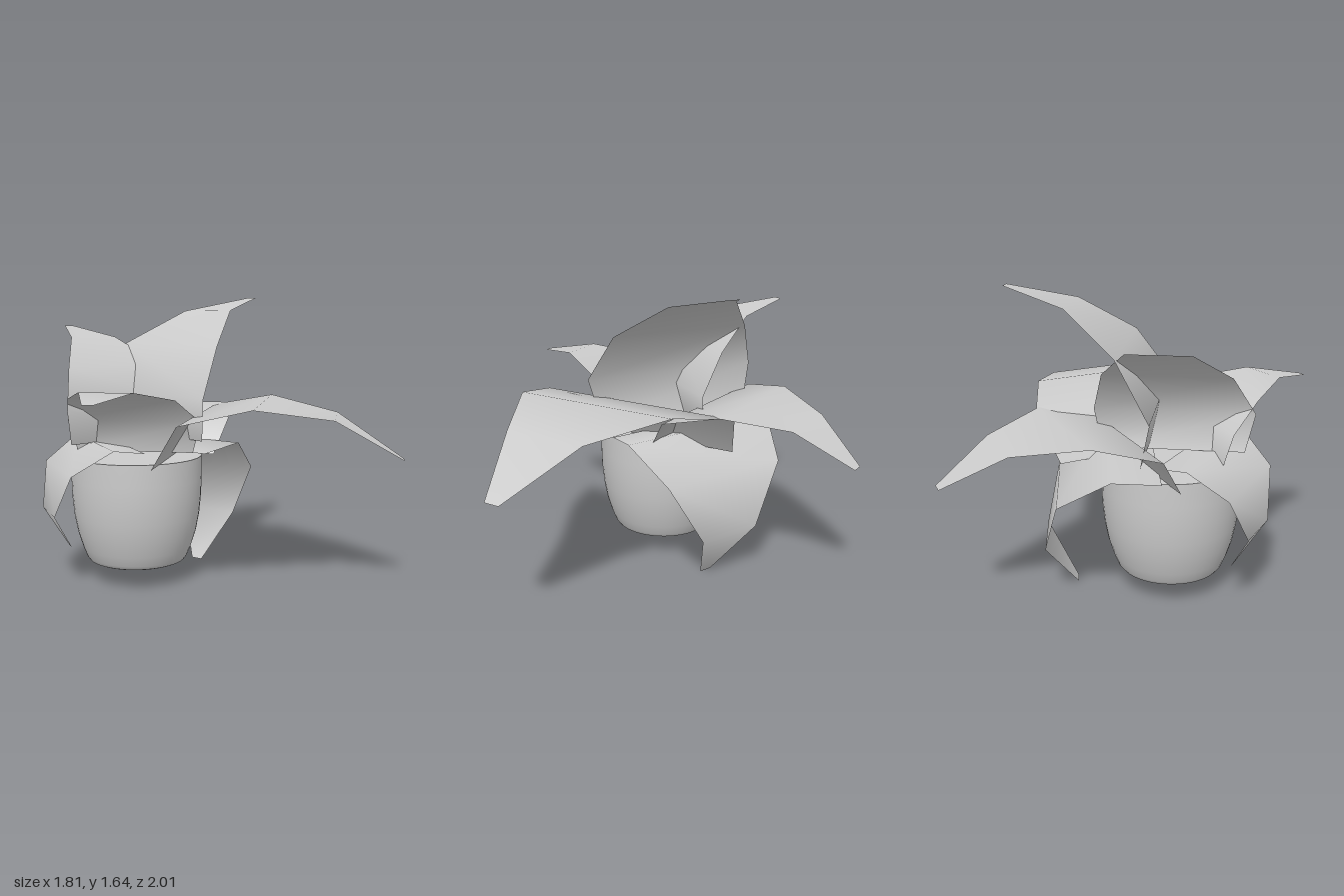
import * as THREE from 'three';

const CENTRE = { x: -0.2, z: -0.28 }; // pot axis
const HALF_WIDTHS = [0.44, 0.5, 0.39, 0.19, 0.036];
const DRIFT = [-0.02, -0.02, 0.01, 0.03, 0.06]; // slight sideways sweep of the midrib
// midrib profiles [outward, up] for a leaf of width 1
const ARCHING = [[0.175, 0.033], [0.3, 0.233], [0.611, 0.3], [0.946, 0.242], [1.25, 0.058]];
const DROOPING = [[0.09, 0.07], [0.34, 0.11], [0.607, -0.075], [0.68, -0.402], [0.51, -0.69]];

// Leaf strip: two vertices per row, swept along a pitched midrib
function leafGeometry({ width, dir, pitch = 0, profile = ARCHING, height = 0.69 }) {
  const len = Math.hypot(dir[0], dir[1]);
  const dx = dir[0] / len, dz = dir[1] / len;
  const a = THREE.MathUtils.degToRad(pitch), c = Math.cos(a), s = Math.sin(a);
  const positions = [], index = [];
  profile.forEach(([u, v], i) => {
    const out = width * (u * c - v * s);
    const up = width * (u * s + v * c);
    for (const side of [-1, 1]) {
      const across = width * (DRIFT[i] + side * HALF_WIDTHS[i]);
      positions.push(
        CENTRE.x + dx * out - dz * across,
        height + up,
        CENTRE.z + dz * out + dx * across
      );
    }
    if (i > 0) {
      const k = 2 * (i - 1);
      index.push(k, k + 1, k + 2, k + 1, k + 3, k + 2);
    }
  });
  const geo = new THREE.BufferGeometry();
  geo.setAttribute('position', new THREE.Float32BufferAttribute(positions, 3));
  geo.setIndex(index);
  geo.computeVertexNormals();
  return geo;
}

export function createModel() {
  const group = new THREE.Group();
  const potMaterial = new THREE.MeshStandardMaterial({ color: 0xcccccc });
  const leafMaterial = new THREE.MeshStandardMaterial({ color: 0xcccccc, side: THREE.DoubleSide });
  const add = (name, geometry, material) => {
    const mesh = new THREE.Mesh(geometry, material);
    mesh.name = name;
    group.add(mesh);
    return mesh;
  };

  // Rounded pot wall
  const wall = [
    [0.26, 0.117], [0.278, 0.125], [0.293, 0.145], [0.315, 0.2], [0.343, 0.29],
    [0.362, 0.39], [0.373, 0.5], [0.376, 0.6], [0.375, 0.73]
  ].map(([r, y]) => new THREE.Vector2(r, y));
  add('pot', new THREE.LatheGeometry(wall, 48), potMaterial).position.set(CENTRE.x, 0, CENTRE.z);

  // Flat base and soil
  const base = add('potBase', new THREE.CircleGeometry(0.26, 48), potMaterial);
  base.rotation.x = Math.PI / 2;
  base.position.set(CENTRE.x, 0.117, CENTRE.z);
  const soil = add('soil', new THREE.CircleGeometry(0.375, 48), potMaterial);
  soil.rotation.x = -Math.PI / 2;
  soil.position.set(CENTRE.x, 0.729, CENTRE.z);

  // Leaves: dir is the outward heading [x, z]
  const leaves = {
    frontLeaf: { width: 1.2, dir: [0.587, 0.81] },
    backLeftLeaf: { width: 0.99, dir: [0.85, -0.53] },
    uprightBackLeaf: { width: 0.85, dir: [0, -1], pitch: 44 },
    uprightSideLeaf: { width: 1.04, dir: [1, 0], pitch: 44 },
    rightLeaf: { width: 0.755, dir: [-0.785, 0.62], pitch: 23 },
    droopingLeftLeaf: { width: 1.0, dir: [0.98, -0.19], profile: DROOPING },
    droopingRightLeaf: { width: 0.76, dir: [-0.94, -0.35], profile: DROOPING, height: 0.735 }
  };
  for (const [name, spec] of Object.entries(leaves)) add(name, leafGeometry(spec), leafMaterial);

  return group;
}
